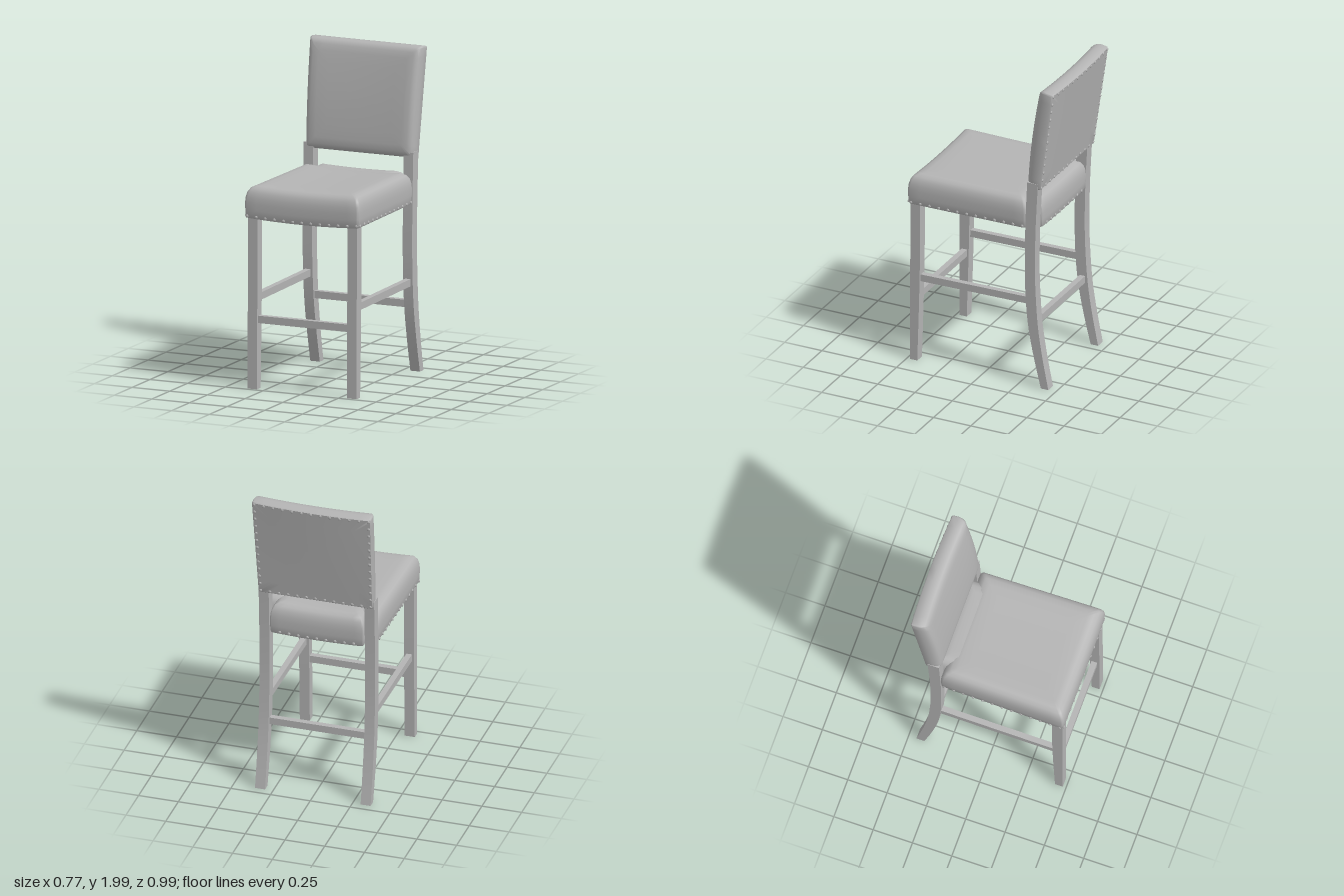
import * as THREE from 'three';
import { toCreasedNormals } from 'three/addons/utils/BufferGeometryUtils.js';

const grey = new THREE.MeshStandardMaterial({ color: 0xb4b4b4 });
grey.name = 'plain grey';

function add(parent, name, geometry) {
  const mesh = new THREE.Mesh(geometry, grey);
  mesh.name = name;
  parent.add(mesh);
  return mesh;
}

// Rounded rectangle outline, counter-clockwise, with subdivided edges
function outline(hw, hd, r, n = 12) {
  const pts = [];
  const corners = [[1, -1], [1, 1], [-1, 1], [-1, -1]];
  const arcs = corners.map(([sx, sy], k) => [0, 1, 2, 3].map((i) => {
    const a = (k - 1) * Math.PI / 2 + i * Math.PI / 6;
    return new THREE.Vector2(sx * (hw - r) + r * Math.cos(a), sy * (hd - r) + r * Math.sin(a));
  }));
  arcs.forEach((arc, k) => {
    pts.push(...arc);
    const next = arcs[(k + 1) % 4][0];
    for (let i = 1; i < n; i++) pts.push(arc[3].clone().lerp(next, i / n));
  });
  return pts;
}

// Upholstered pad: outline rings at [inset, height] levels, closed by shrinking rings, then bent by warp
function pad(hw, hd, r, levels, warp) {
  const base = outline(hw, hd, r), n = base.length;
  const cap = [0, 0.25, 0.5, 0.75];
  const ring = ([inset, h], s = 1) => ({ su: s * (1 - inset / hw), sv: s * (1 - inset / hd), h });
  const first = levels[0], last = levels[levels.length - 1];
  const rings = [
    ...cap.map((s) => ring(first, s)),
    ...levels.map((l) => ring(l)),
    ...cap.slice().reverse().map((s) => ring(last, s)),
  ];
  const pos = [], idx = [];
  rings.forEach(({ su, sv, h }, i) => base.forEach((p, j) => {
    pos.push(...warp(p.x * su, p.y * sv, h));
    if (i === rings.length - 1) return;
    const a = i * n + j, b = i * n + (j + 1) % n;
    if (i > 0) idx.push(a, b, b + n);
    if (i === 0) idx.push(a, b + n, a + n);
    else if (i < rings.length - 2) idx.push(a, b + n, a + n);
  }));
  const g = new THREE.BufferGeometry();
  g.setAttribute('position', new THREE.Float32BufferAttribute(pos, 3));
  g.setIndex(idx);
  return toCreasedNormals(g, 0.7);
}

// Leg cut from a side profile given as [y, front z, back z], width along x
function leg(profile, x, width) {
  const side = (k) => new THREE.SplineCurve(profile.map((p) => new THREE.Vector2(p[k], p[0]))).getPoints(20);
  const shape = new THREE.Shape([...side(1), ...side(2).reverse()]);
  const g = new THREE.ExtrudeGeometry(shape, { depth: width, bevelEnabled: false });
  g.rotateY(-Math.PI / 2).translate(x + width / 2, 0, 0);
  return toCreasedNormals(g, 0.5);
}

// Surface rules for the two pads
const seatWarp = (u, v, h) => {
  const z = 0.095 - v;
  const widen = 1 + 0.02 * (z - 0.095) / 0.395;
  return [u * widen, h - 0.013 * (1 - (u / 0.373) ** 2), z];
};
const backWarp = (u, v, h) => {
  const t = (v + 0.34) / 0.68;
  const front = -0.293 - 0.03 * t - 0.06 * t * t;
  const rear = -0.393 - 0.09 * t;
  const arch = 1 - (u / 0.37) ** 2;
  return [
    u * (0.973 + 0.04 * t),
    1.66 + v - t * (0.018 * (1 - h) + 0.004 * arch),
    rear + (front - rear) * h - 0.013 * arch * t,
  ];
};

export function createModel() {
  const model = new THREE.Group();
  model.name = 'barStool';

  // Seat cushion, with a tongue reaching back between the rear legs
  const seatLevels = [[0.008, 1.048], [0.003, 1.058], [0.001, 1.1], [0, 1.14], [0.003, 1.175],
    [0.011, 1.207], [0.026, 1.23], [0.05, 1.243], [0.085, 1.247]];
  add(model, 'seat', pad(0.373, 0.395, 0.018, seatLevels, seatWarp));
  add(model, 'seatRear', pad(0.3, 0.25, 0.01, seatLevels.map(([i, h]) => [i, h - 0.002]),
    (u, v, h) => { const p = seatWarp(u, v, h); p[2] -= 0.22; return p; }));

  // Padded backrest, leaning and bowed to the rear
  add(model, 'backrest', pad(0.37, 0.34, 0.012, [[0.005, 0], [0, 0.06], [0, 0.45], [0.004, 0.65],
    [0.012, 0.82], [0.024, 0.92], [0.042, 0.98], [0.08, 1]], backWarp));

  // Legs
  const frontProfile = [[0, 0.479, 0.43], [0.4, 0.478, 0.418], [0.7, 0.477, 0.412], [1.07, 0.476, 0.41]];
  const rearProfile = [[0, -0.4, -0.45], [0.2, -0.352, -0.411], [0.4, -0.315, -0.381], [0.6, -0.297, -0.366],
    [0.8, -0.293, -0.36], [1.07, -0.296, -0.365], [1.36, -0.308, -0.38]];
  for (const s of [-1, 1]) {
    const side = s > 0 ? 'left' : 'right';
    add(model, side + 'FrontLeg', leg(frontProfile, s * 0.33, 0.063));
    add(model, side + 'RearLeg', leg(rearProfile, s * 0.332, 0.063));

    // Side stretcher, rising slightly to the rear
    const bar = add(model, side + 'Stretcher', new THREE.BoxGeometry(0.035, 0.045, 0.74));
    bar.position.set(s * 0.332, 0.558, 0.055);
    bar.rotation.x = 0.014;
  }
  for (const [name, z] of [['frontStretcher', 0.446], ['rearStretcher', -0.345]]) {
    add(model, name, new THREE.BoxGeometry(0.62, 0.045, 0.036)).position.set(0, 0.426, z);
  }

  // Nailheads along the seat's lower edge and around the rear of the backrest
  const nails = new THREE.Group();
  nails.name = 'nailheads';
  model.add(nails);
  const head = new THREE.SphereGeometry(0.01, 8, 6);
  const nail = (p, axis) => {
    const m = add(nails, 'nailhead', head);
    m.position.set(...p);
    m.scale[axis] = 0.5;
  };
  for (let i = 0; i <= 12; i++) {
    const f = i / 6 - 1;
    nail(seatWarp(f * 0.355, -0.392, 1.06), 'z');
    for (const s of [-1, 1]) {
      nail(seatWarp(s * 0.371, f * 0.37, 1.06), 'x');
      nail(backWarp(f * 0.355, s * 0.325, 0), 'z');
      if (i > 0 && i < 12) nail(backWarp(s * 0.355, f * 0.325, 0), 'z');
    }
    if (i > 1 && i < 11) {
      const p = seatWarp(f * 0.355, 0.392, 1.06);
      nail([p[0], p[1], -0.374], 'z');
    }
  }
  return model;
}
